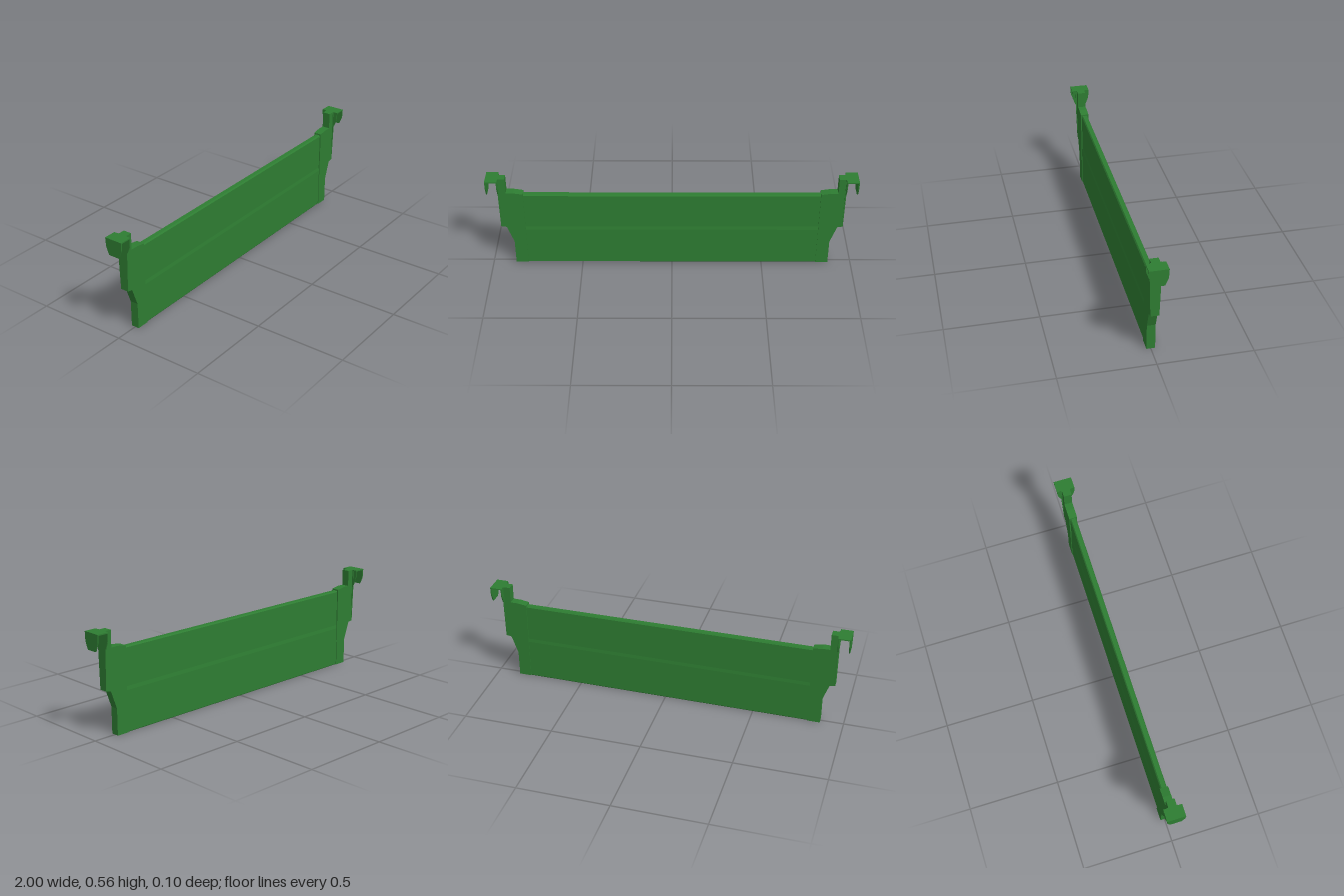
import * as THREE from 'three';

const material = new THREE.MeshStandardMaterial({ color: 0x2e7d32 });

// Extrude a closed outline, centred on its depth
function slab(points, depth) {
  const shape = new THREE.Shape(points.map(([x, y]) => new THREE.Vector2(x, y)));
  const geo = new THREE.ExtrudeGeometry(shape, { depth, bevelEnabled: false });
  return geo.translate(0, 0, -depth / 2);
}

// Close a half outline (half width, height) by mirroring it
function symmetric(half) {
  return [...half, ...half.map(([w, y]) => [-w, y]).reverse()];
}

function add(parent, name, geometry, x = 0, y = 0, z = 0) {
  const mesh = new THREE.Mesh(geometry, material);
  mesh.name = name;
  mesh.position.set(x, y, z);
  parent.add(mesh);
  return mesh;
}

// End bracket on the +x side (side = 1) or the -x side (side = -1)
function endBracket(side) {
  const group = new THREE.Group();
  group.name = side > 0 ? 'leftBracket' : 'rightBracket';

  // Stepped cap that holds the end of the board
  const cap = [
    [0.805, 0], [0.873, 0], [0.873, 0.145], [0.908, 0.245], [0.937, 0.25],
    [0.937, 0.561], [0.896, 0.561], [0.896, 0.47], [0.855, 0.47], [0.805, 0.462],
  ].map(([x, y]) => [x * side, y]);
  add(group, 'bracketCap', slab(side > 0 ? cap : cap.reverse(), 0.045));

  // Thin outer plate, widening upward
  const plate = symmetric([[0.0225, 0.25], [0.029, 0.47], [0.029, 0.561]]);
  add(group, 'outerPlate', slab(plate, 0.006).rotateY(Math.PI / 2), side * 0.935);

  // Hook: flat top and a flared lip hanging down
  add(group, 'hookTop', new THREE.BoxGeometry(0.064, 0.006, 0.1), side * 0.968, 0.558);
  const flare = symmetric([
    [0.03, 0.47], [0.034, 0.478], [0.046, 0.508], [0.048, 0.52], [0.05, 0.561],
  ]);
  add(group, 'hookLip', slab(flare, 0.006).rotateY(Math.PI / 2), side * 0.997);
  add(group, 'hookBack', slab(flare, 0.005).rotateY(Math.PI / 2), side * 0.9365);
  return group;
}

export function createModel() {
  const model = new THREE.Group();
  model.name = 'hangingBoard';

  // Board: slightly thicker lower half, a ledge at mid height, eased top edge
  const section = symmetric([
    [0.017, 0], [0.019, 0.004], [0.019, 0.225], [0.0165, 0.245],
    [0.0165, 0.448], [0.011, 0.455],
  ]);
  add(model, 'board', slab(section, 1.63).rotateY(Math.PI / 2));

  for (const side of [1, -1]) model.add(endBracket(side));
  return model;
}
